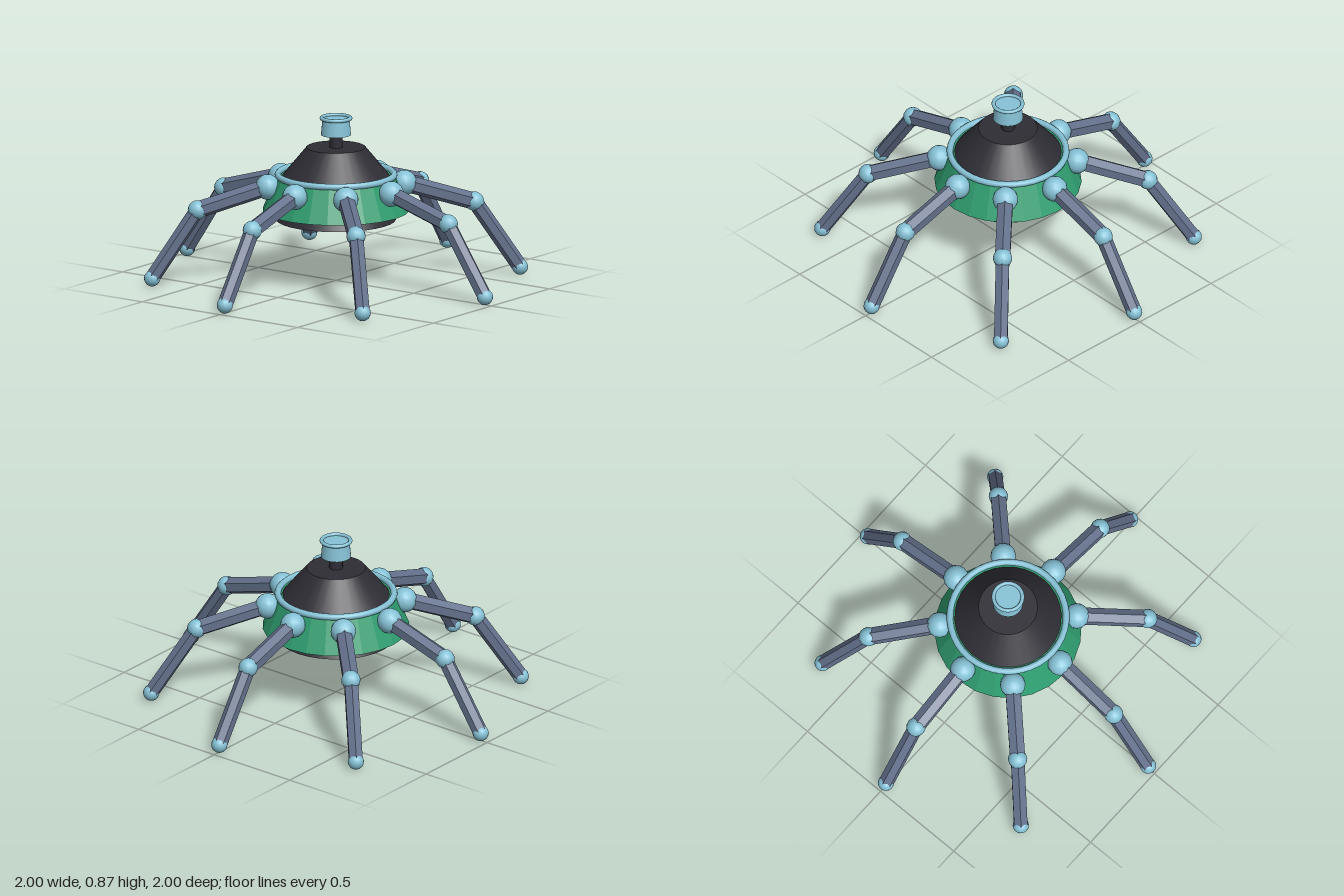
import * as THREE from 'three';

const paint = (name, color, flatShading = false) => {
  const m = new THREE.MeshStandardMaterial({ color, flatShading });
  m.name = name;
  return m;
};

export function createModel() {
  const green = paint('green', 0x2f9e70, true);
  const blue = paint('pale blue', 0x86c2d6);
  const slate = paint('slate', 0x64718c, true);
  const charcoal = paint('charcoal', 0x2e2d35);

  const model = new THREE.Group();
  model.name = 'eightLeggedRobot';

  const add = (parent, name, geometry, material, x = 0, y = 0, z = 0) => {
    const mesh = new THREE.Mesh(geometry, material);
    mesh.name = name;
    mesh.position.set(x, y, z);
    parent.add(mesh);
    return mesh;
  };
  // Round tapered section standing between two heights
  const frustum = (name, rTop, rBottom, y0, y1, material, sides = 32) =>
    add(model, name, new THREE.CylinderGeometry(rTop, rBottom, y1 - y0, sides), material, 0, (y0 + y1) / 2, 0);
  const ring = (name, radius, tube, y) =>
    add(model, name, new THREE.TorusGeometry(radius, tube, 10, 40).rotateX(Math.PI / 2), blue, 0, y, 0);

  // Body
  frustum('basePlate', 0.28, 0.31, 0.325, 0.38, charcoal);
  frustum('bodyShell', 0.305, 0.38, 0.375, 0.555, green, 24);
  frustum('upperCone', 0.152, 0.28, 0.55, 0.705, charcoal);
  ring('bodyRing', 0.3, 0.017, 0.56);

  // Sensor on top
  frustum('neck', 0.035, 0.035, 0.7, 0.78, charcoal, 16);
  frustum('sensorHead', 0.07, 0.078, 0.77, 0.855, blue, 24);
  ring('sensorRim', 0.075, 0.01, 0.858);

  // Legs, each built along +z and turned about the body
  const hip = new THREE.Vector3(0, 0.505, 0.355);
  const knee = new THREE.Vector3(0, 0.395, 0.722);
  const foot = new THREE.Vector3(0, 0.042, 0.958);
  const up = new THREE.Vector3(0, 1, 0);

  const joint = (leg, name, p, radius) =>
    add(leg, name, new THREE.SphereGeometry(radius, 14, 10), blue, p.x, p.y, p.z);
  const limb = (leg, name, a, b, radius) => {
    const dir = b.clone().sub(a);
    const mid = a.clone().add(b).multiplyScalar(0.5);
    const mesh = add(leg, name, new THREE.CylinderGeometry(radius, radius, dir.length(), 6), slate, mid.x, mid.y, mid.z);
    mesh.quaternion.setFromUnitVectors(up, dir.normalize());
  };

  for (let i = 0; i < 8; i++) {
    const leg = new THREE.Group();
    leg.name = `leg${i + 1}`;
    limb(leg, 'upperLeg', hip, knee, 0.045);
    limb(leg, 'lowerLeg', knee, foot, 0.04);
    joint(leg, 'hipJoint', hip, 0.066);
    joint(leg, 'kneeJoint', knee, 0.05);
    joint(leg, 'foot', foot, 0.042);
    leg.rotation.y = (i * Math.PI) / 4;
    model.add(leg);
  }
  return model;
}
